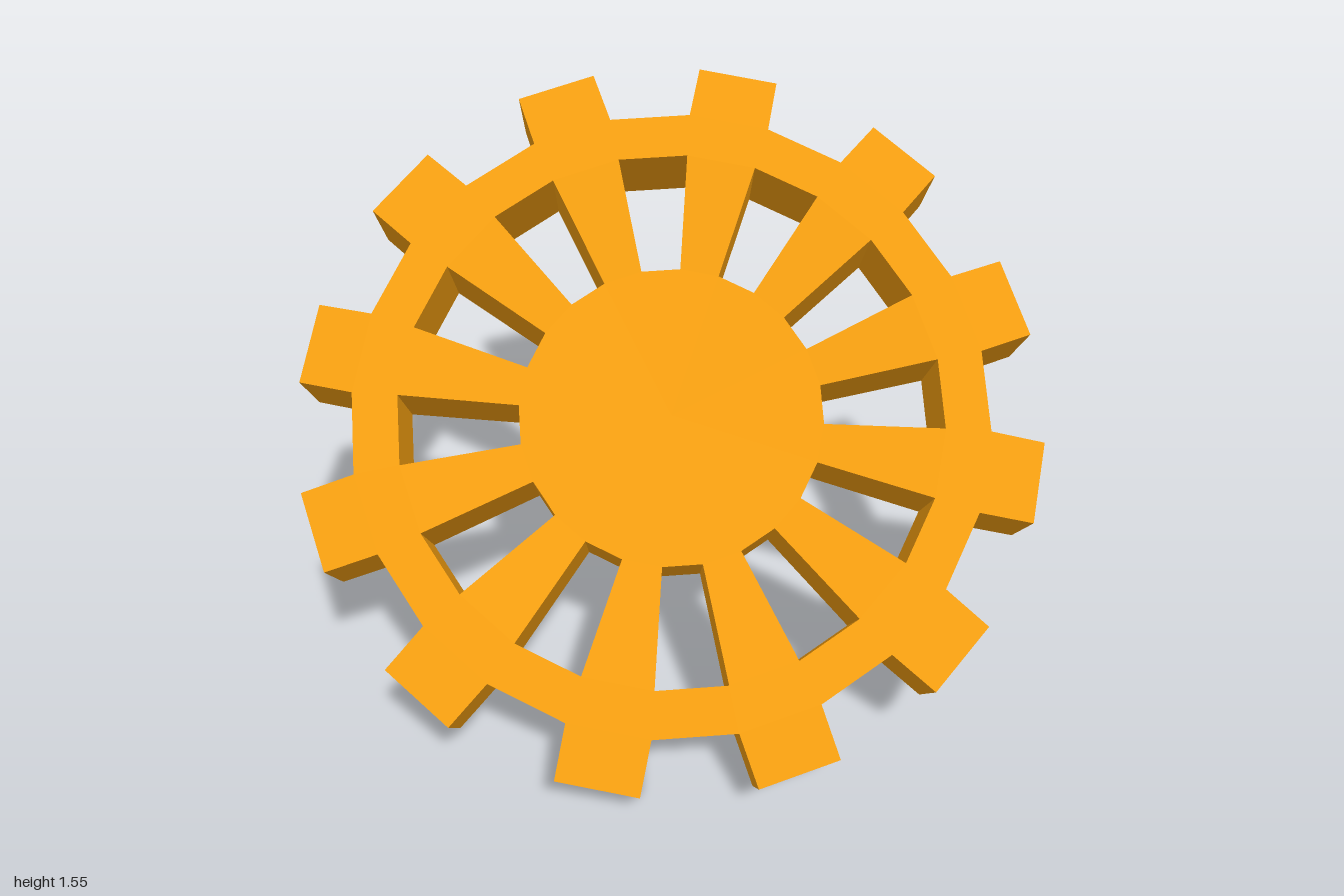
import * as THREE from 'three';

const TEETH = 12;
const STEP = Math.PI / TEETH;                  // each tooth and each gap spans 15 degrees
const OFFSET = THREE.MathUtils.degToRad(11.7); // turn of the first tooth
const TILT = THREE.MathUtils.degToRad(44);
const R_HUB = 0.413, R_SLOT = 0.735, R_ROOT = 0.858, R_TIP = 1.003;
const TIP_HALF = THREE.MathUtils.degToRad(6.35);

// Slightly dished front and back heights along the axis
const front = { 0: -0.035, [R_HUB]: -0.025, [R_SLOT]: 0.01, [R_ROOT]: 0.008, [R_TIP]: 0 };
const back = { 0: -0.265, [R_HUB]: -0.25, [R_SLOT]: -0.225, [R_ROOT]: -0.228, [R_TIP]: -0.23 };

function gearGeometry() {
  const pos = [];
  const point = ([t, r], side) => [r * Math.sin(t), side[r], -r * Math.cos(t)];
  const polygon = (pts) => {
    for (let i = 1; i < pts.length - 1; i++) pos.push(...pts[0], ...pts[i], ...pts[i + 1]);
  };
  // the same outline on the front and, reversed, on the back
  const plate = (...outline) => {
    polygon(outline.map((p) => point(p, front)));
    polygon(outline.map((p) => point(p, back)).reverse());
  };
  // walls through the thickness, facing left of the direction of travel
  const walls = (...path) => {
    for (let i = 0; i < path.length - 1; i++) {
      const [a, b] = [path[i], path[i + 1]];
      polygon([point(a, front), point(b, front), point(b, back), point(a, back)]);
    }
  };

  for (let i = 0; i < TEETH * 2; i++) {
    const mid = OFFSET + i * STEP;
    const t0 = mid - STEP / 2, t1 = mid + STEP / 2;
    // hub sector and outer rim
    plate([0, 0], [t1, R_HUB], [t0, R_HUB]);
    plate([t1, R_SLOT], [t1, R_ROOT], [t0, R_ROOT], [t0, R_SLOT]);
    if (i % 2 === 0) {
      // spoke and tooth
      const a = mid - TIP_HALF, b = mid + TIP_HALF;
      plate([t1, R_HUB], [t1, R_SLOT], [t0, R_SLOT], [t0, R_HUB]);
      plate([t1, R_ROOT], [b, R_TIP], [a, R_TIP], [t0, R_ROOT]);
      walls([t0, R_ROOT], [a, R_TIP], [b, R_TIP], [t1, R_ROOT]);
    } else {
      // gap between teeth, with a slot below it
      walls([t0, R_ROOT], [t1, R_ROOT]);
      walls([t1, R_SLOT], [t0, R_SLOT], [t0, R_HUB], [t1, R_HUB], [t1, R_SLOT]);
    }
  }
  const geo = new THREE.BufferGeometry();
  geo.setAttribute('position', new THREE.Float32BufferAttribute(pos, 3));
  geo.computeVertexNormals();
  return geo;
}

export function createModel() {
  const model = new THREE.Group();
  model.name = 'gearOnAxle';
  const material = new THREE.MeshStandardMaterial({ color: 0xf09c10 });

  const gear = new THREE.Mesh(gearGeometry(), material);
  gear.name = 'gearWheel';

  // axle from inside the hub out behind the wheel
  const top = -0.2, end = -0.957;
  const axle = new THREE.Mesh(new THREE.CylinderGeometry(0.1, 0.1, top - end, 8), material);
  axle.name = 'axle';
  axle.position.y = (top + end) / 2;

  const tilted = new THREE.Group();
  tilted.name = 'tiltedAssembly';
  tilted.add(gear, axle);
  tilted.rotation.x = TILT;
  tilted.position.set(0, 0.86, 0.083);
  model.add(tilted);
  return model;
}
